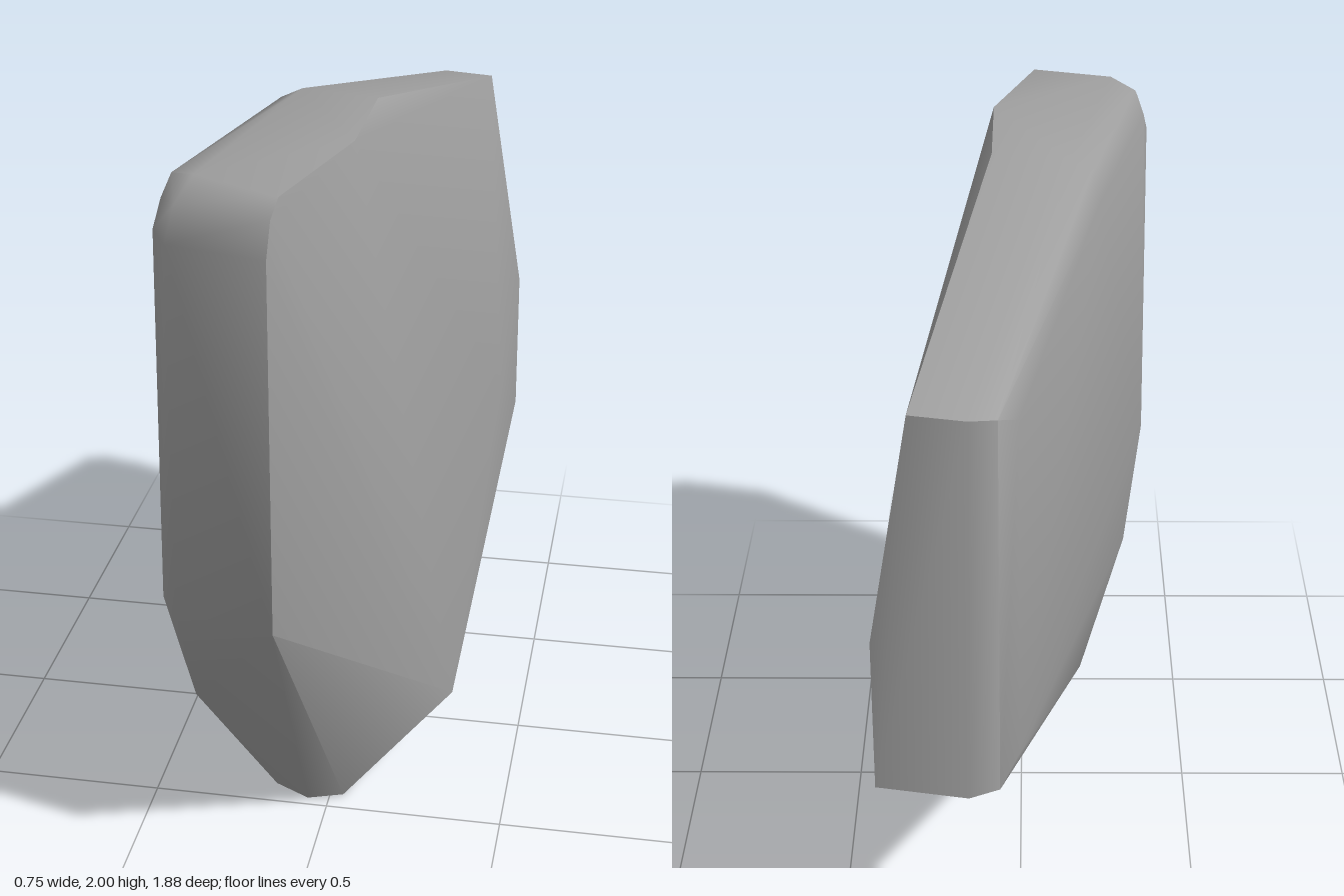
import * as THREE from 'three';
import { ConvexGeometry } from 'three/addons/geometries/ConvexGeometry.js';
import { toCreasedNormals } from 'three/addons/utils/BufferGeometryUtils.js';

// Each station runs across the thickness: sharp right corner, then the rounded left edge.
const stations = {
  frontLow: [[-0.05, 0.84, 0.94], [-0.32, 0.84, 0.87], [-0.37, 0.84, 0.8], [-0.38, 0.84, 0.72]],
  frontHigh: [[-0.05, 1.85, 0.93], [-0.31, 1.85, 0.87], [-0.355, 1.86, 0.8], [-0.367, 1.85, 0.71]],
  frontBevel: [[-0.045, 1.94, 0.9], [-0.29, 1.94, 0.84], [-0.34, 1.93, 0.77]],
  topFront: [[-0.035, 1.98, 0.85], [-0.26, 1.99, 0.76], [-0.33, 1.97, 0.7], [-0.355, 1.91, 0.66]],
  topMiddle: [[0.08, 2, 0.48], [0.08, 2, 0.13], [-0.13, 2, 0.08], [-0.19, 1.97, 0.07], [-0.21, 1.9, 0.03]],
  topBack: [[0.265, 1.76, -0.9], [0.12, 1.76, -0.93], [0.05, 1.75, -0.905], [0, 1.7, -0.81]],
  backBottom: [[0.375, 0.66, -0.9], [0.13, 0.66, -0.945], [0.05, 0.67, -0.92], [0, 0.71, -0.82]],
  lowerTip: [[0.04, 0.01, 0.45], [-0.06, 0, 0.47], [-0.15, 0.04, 0.47], [-0.19, 0.08, 0.46]],
};

// Corners that shape the broad right face and the tapered lower left
const faceCorners = [[0.375, 1.1, -0.88], [0.375, 0.95, -0.4], [0.32, 0.23, 0.2], [-0.33, 0.45, 0.66]];

export function createModel() {
  const group = new THREE.Group();
  group.name = 'rock';
  const stone = new THREE.MeshStandardMaterial({ color: 0xa0a0a0 });
  stone.name = 'grey stone';

  const points = [...Object.values(stations).flat(), ...faceCorners]
    .map((p) => new THREE.Vector3(...p));
  // Smooth rounded edges, sharp right rim
  const geometry = toCreasedNormals(new ConvexGeometry(points), 0.85);
  const slab = new THREE.Mesh(geometry, stone);
  slab.name = 'stoneSlab';
  group.add(slab);
  return group;
}
